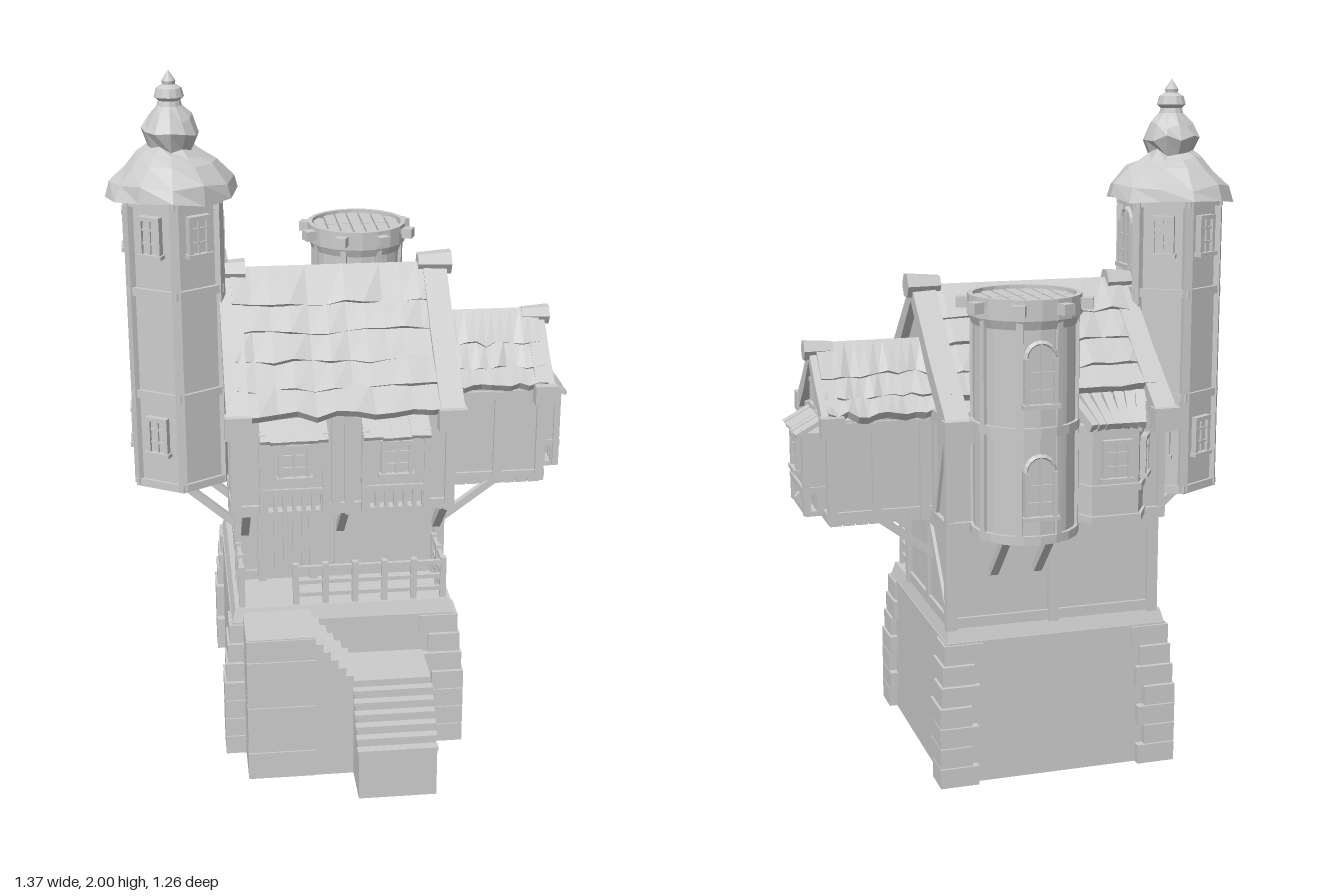
import * as THREE from 'three';

const mat = new THREE.MeshStandardMaterial({ color: 0xcccccc, flatShading: true, side: THREE.DoubleSide });
const hash = (a, b) => { const s = Math.sin(a * 127.1 + b * 311.7) * 43758.5453; return s - Math.floor(s) - 0.5; };
const V = (x, y, z) => new THREE.Vector3(x, y, z);

export function createModel() {
  const root = new THREE.Group();
  const add = (name, geo, parent = root) => {
    const m = new THREE.Mesh(geo, mat);
    m.name = name;
    parent.add(m);
    return m;
  };
  const group = (name, x = 0, y = 0, z = 0, ry = 0) => {
    const g = new THREE.Group();
    g.name = name; g.position.set(x, y, z); g.rotation.y = ry;
    root.add(g);
    return g;
  };
  // Box given by its low and high corners
  const span = (name, x0, x1, y0, y1, z0, z1, parent) => {
    const m = add(name, new THREE.BoxGeometry(x1 - x0, y1 - y0, z1 - z0), parent);
    m.position.set((x0 + x1) / 2, (y0 + y1) / 2, (z0 + z1) / 2);
    return m;
  };
  // Square timber between two points
  const beam = (name, p, q, w = 0.022, parent = root) => {
    const m = add(name, new THREE.BoxGeometry(w, w, p.distanceTo(q)), parent);
    m.position.copy(p).add(q).multiplyScalar(0.5);
    m.lookAt(q);
    return m;
  };
  // Polygon in (z, y), extruded along x from x0 to x1
  const across = (name, pts, x0, x1) => {
    const s = new THREE.Shape(pts.map(p => new THREE.Vector2(p[0], p[1])));
    const g = new THREE.ExtrudeGeometry(s, { depth: x1 - x0, bevelEnabled: false });
    g.rotateY(-Math.PI / 2).translate(x1, 0, 0);
    return add(name, g);
  };
  // Polygon in (x, z), extruded upward
  const upward = (name, pts, y0, y1, hole) => {
    const flip = a => a.map(p => new THREE.Vector2(p[0], -p[1]));
    const s = new THREE.Shape(flip(pts));
    if (hole) s.holes.push(new THREE.Path(flip(hole)));
    const g = new THREE.ExtrudeGeometry(s, { depth: y1 - y0, bevelEnabled: false });
    g.rotateX(-Math.PI / 2).translate(0, y0, 0);
    return add(name, g);
  };
  // Framed, barred window facing local +z
  const windowAt = (x, y, z, ry, w = 0.065, h = 0.1, arched = false) => {
    const g = group('window', x, y, z, ry), t = 0.012;
    span('pane', -w / 2, w / 2, -h / 2, h / 2, -0.004, 0.004, g);
    for (const s of [-1, 1]) span('frameSide', s * w / 2 - t / 2, s * w / 2 + t / 2, -h / 2, h / 2, -0.01, 0.014, g);
    span('sill', -w / 2 - t, w / 2 + t, -h / 2 - t / 2, -h / 2 + t / 2, -0.01, 0.02, g);
    if (arched) {
      add('archFrame', new THREE.TorusGeometry(w / 2, 0.008, 4, 8, Math.PI), g).position.y = h / 2;
      add('archPane', new THREE.CircleGeometry(w / 2, 10, 0, Math.PI), g).position.set(0, h / 2, 0.004);
    } else span('lintel', -w / 2 - t / 2, w / 2 + t / 2, h / 2 - t / 2, h / 2 + t / 2, -0.01, 0.016, g);
    span('mullion', -0.003, 0.003, -h / 2, h / 2 + (arched ? w / 2 : 0), 0, 0.01, g);
    for (const k of [-0.17, 0.2]) span('glazingBar', -w / 2, w / 2, h * k - 0.003, h * k + 0.003, 0, 0.01, g);
  };

  // Hollow stone base
  const rect = (x0, x1, z0, z1) => [[x0, z0], [x1, z0], [x1, z1], [x0, z1]];
  upward('baseWalls', rect(-0.375, 0.295, -0.375, 0.325), 0, 0.43, rect(-0.29, 0.21, -0.29, 0.24));
  const deck = add('deck', new THREE.CylinderGeometry(Math.SQRT1_2 * 0.96, Math.SQRT1_2, 0.05, 4).rotateY(Math.PI / 4));
  deck.scale.set(0.67, 1, 0.70); deck.position.set(-0.04, 0.445, -0.025);
  span('deckUnderside', -0.36, 0.28, 0.40, 0.43, -0.36, 0.31);

  // Corner quoins, narrowing upward
  for (const sx of [-1, 1]) for (const sz of [-1, 1]) for (let i = 0; i < 7; i++) {
    const a = i % 2 ? 0.095 : 0.115, b = i % 2 ? 0.115 : 0.095, out = 0.36 - Math.max(0, i - 3) * 0.006;
    const q = add('quoin', new THREE.BoxGeometry(a, 0.058, b));
    q.position.set(-0.04 + sx * (out - a / 2), 0.03 + i * 0.061, -0.025 + sz * (out + 0.015 - b / 2));
  }

  // Stairs: stone courses, side flight, landing and front flight
  const courses = [0, 0.09, 0.24, 0.39, 0.46];
  for (let i = 0; i < 4; i++) span('stairCourse', -0.34, -0.14, courses[i], courses[i + 1] - 0.005, 0.3, 0.494);
  span('stairCore', -0.335, -0.14, 0, 0.458, 0.3, 0.489);
  for (let i = 0; i < 5; i++) span('sideStep', -0.14 + i * 0.022, -0.118 + i * 0.022, 0, 0.435 - i * 0.027, 0.3, 0.492);
  span('landing', -0.03, 0.197, 0, 0.31, 0.3, 0.492);
  for (let i = 0; i < 6; i++) {
    span('frontStep', -0.03, 0.197, 0, 0.285 - i * 0.026, 0.49 + i * 0.023, 0.513 + i * 0.023);
    span('stepNosing', -0.034, 0.2, 0.279 - i * 0.026, 0.289 - i * 0.026, 0.49 + i * 0.023, 0.517 + i * 0.023);
  }

  // Deck fence
  const fence = (p, q, n) => {
    for (const y of [0.5, 0.54, 0.585]) beam('fenceRail', V(p.x, y, p.z), V(q.x, y, q.z), 0.012);
    for (let i = 0; i <= n; i++) {
      const c = p.clone().lerp(q, i / n);
      span('fencePost', c.x - 0.009, c.x + 0.009, 0.46, 0.6, c.z - 0.009, c.z + 0.009);
    }
  };
  fence(V(-0.18, 0, 0.295), V(0.26, 0, 0.295), 5);
  fence(V(0.26, 0, 0.295), V(0.26, 0, 0.13), 2);
  fence(V(-0.34, 0, 0.295), V(-0.34, 0, 0.13), 2);

  // Ground floor with timber framing
  span('groundFloor', -0.335, 0.275, 0.46, 0.77, -0.355, 0.115);
  for (const x of [-0.335, -0.03, 0.275]) for (const z of [-0.355, 0.115])
    span('groundPost', x - 0.016, x + 0.016, 0.465, 0.765, z - 0.012, z + 0.012);
  for (const y of [0.485, 0.745]) {
    for (const z of [-0.355, 0.115]) span('groundRail', -0.345, 0.285, y - 0.015, y + 0.015, z - 0.009, z + 0.009);
    for (const x of [-0.335, 0.275]) span('groundRail', x - 0.009, x + 0.009, y - 0.015, y + 0.015, -0.36, 0.12);
  }
  for (const x of [-0.335, 0.275]) {
    span('sidePost', x - 0.01, x + 0.01, 0.47, 0.76, -0.13, -0.105);
    beam('sideBrace', V(x, 0.49, -0.34), V(x, 0.74, -0.14), 0.02);
  }
  for (let i = 0; i < 5; i++) span('doorPlank', -0.26 + i * 0.028, -0.234 + i * 0.028, 0.48, 0.72, 0.11, 0.128);
  for (const x of [-0.27, -0.114]) span('doorJamb', x - 0.012, x + 0.012, 0.47, 0.74, 0.11, 0.14);
  span('doorLintel', -0.29, -0.09, 0.72, 0.745, 0.11, 0.145);

  // Upper floor with gables
  across('upperFloor', [[-0.365, 0.76], [0.275, 0.76], [0.275, 1.1], [-0.04, 1.375], [-0.365, 1.1]], -0.355, 0.28);
  for (const z of [-0.365, 0.275]) for (const y of [0.77, 1.05]) span('upperRail', -0.365, 0.29, y - 0.016, y + 0.016, z - 0.012, z + 0.012);
  for (const x of [-0.35, -0.24, -0.06, -0.02, 0.2, 0.275]) span('upperPost', x - 0.013, x + 0.013, 0.75, 1.07, 0.265, 0.29);
  for (const x of [-0.355, 0.28]) {
    for (const y of [0.77, 1.07]) span('gableRail', x - 0.012, x + 0.012, y - 0.016, y + 0.016, -0.375, 0.285);
    for (const z of [-0.36, -0.23, 0.15, 0.27]) span('gablePost', x - 0.011, x + 0.011, 0.76, 1.08, z - 0.013, z + 0.013);
    beam('gableBrace', V(x, 0.78, 0.16), V(x, 1.06, 0.26), 0.018);
    beam('gableBrace', V(x, 0.78, -0.24), V(x, 1.06, -0.35), 0.018);
  }
  for (const x of [-0.32, -0.03, 0.265]) beam('frontStrut', V(x, 0.63, 0.12), V(x, 0.765, 0.27), 0.024);
  for (let i = 0; i < 7; i++) span('floorJoist', -0.33 + i * 0.097, -0.31 + i * 0.097, 0.745, 0.765, 0.11, 0.27);

  // Bay: window box with rail bars and a sloping plank awning, facing local +z
  const bay = (x, z, ry, w, d) => {
    const g = group('windowBay', x, 0, z, ry);
    span('bayBody', -w / 2, w / 2, 0.85, 1.02, 0, d * 0.75, g);
    span('bayFloor', -w / 2, w / 2, 0.775, 0.79, 0, d * 0.75, g);
    span('baySill', -w / 2 - 0.006, w / 2 + 0.006, 0.845, 0.862, 0, d * 0.85, g);
    span('bayBack', -w / 2, w / 2, 0.78, 0.86, 0, d * 0.35, g);
    for (let i = 0; i < 7; i++) {
      const c = -w / 2 + 0.008 + i * (w - 0.016) / 6;
      span('bayBar', c - 0.006, c + 0.006, 0.78, 0.85, d * 0.55, d * 0.75, g);
      const p = add('awningPlank', new THREE.BoxGeometry(w / 6, 0.012, d * 1.15), g);
      p.position.set(c, 1.035 + hash(i, x) * 0.006, d * 0.5);
      p.rotation.x = 0.5;
    }
    for (const s of [-1, 1]) span('bayPost', s * w / 2 - 0.01, s * w / 2 + 0.01, 0.78, 1.03, d * 0.6, d * 0.82, g);
    const c = V(0, 0.945, d * 0.76).applyAxisAngle(V(0, 1, 0), ry);
    windowAt(x + c.x, c.y, z + c.z, ry, 0.08, 0.1);
  };
  bay(-0.185, 0.275, 0, 0.18, 0.085);
  bay(0.11, 0.275, 0, 0.18, 0.085);

  // Side wing
  across('wing', [[-0.195, 0.765], [0.115, 0.765], [0.115, 1.06], [-0.04, 1.22], [-0.195, 1.06]], 0.27, 0.585);
  for (const z of [-0.195, 0.115]) {
    for (const y of [0.78, 1.04]) span('wingRail', 0.28, 0.595, y - 0.014, y + 0.014, z - 0.01, z + 0.01);
    for (const x of [0.31, 0.45, 0.58]) span('wingPost', x - 0.013, x + 0.013, 0.76, 1.05, z - 0.012, z + 0.012);
    beam('wingStrut', V(0.275, 0.64, z * 0.95), V(0.45, 0.77, z * 0.95), 0.022);
  }
  for (const y of [0.78, 1.05]) span('wingEndRail', 0.575, 0.597, y - 0.014, y + 0.014, -0.2, 0.12);
  for (let i = 0; i < 8; i++) span('wingFloorPlank', 0.285 + i * 0.038, 0.319 + i * 0.038, 0.75, 0.766, -0.19, 0.11);
  windowAt(0.588, 1.115, -0.04, Math.PI / 2, 0.06, 0.07);
  bay(0.585, -0.05, Math.PI / 2, 0.2, 0.085);
  beam('bayStrut', V(0.59, 0.76, -0.05), V(0.655, 0.82, -0.05), 0.02);

  // Roofs: overlapping wavy shingle rows on both slopes
  const roof = (x0, x1, top, half, drop, rows, backRows) => {
    const L = x1 - x0, at = t => [t * half, top - t * drop - 0.02 * Math.sin(Math.PI * t)];
    for (const side of [0, 1]) {
      const g = group('roofSlope', (x0 + x1) / 2, 0, -0.04, side * Math.PI);
      for (let r = 0; r < (side ? backRows : rows); r++) {
        const [za, ya] = at(r / rows), [zb, yb] = at((r + 1) / rows), len = Math.hypot(zb - za, yb - ya);
        const geo = new THREE.BoxGeometry(L, 0.026, len + 0.02, 11, 1, 1), p = geo.attributes.position;
        for (let i = 0; i < p.count; i++) if (p.getZ(i) > 0) {
          const k = Math.round(p.getX(i) * 500) + side * 9;
          p.setY(i, p.getY(i) + 0.008 + 0.016 * hash(k, r));
          p.setZ(i, p.getZ(i) + 0.022 * hash(k, r + 7));
        }
        const m = add('shingleRow', geo, g);
        m.position.set(0, (ya + yb) / 2, (za + zb) / 2);
        m.rotation.x = Math.atan2(ya - yb, zb - za);
      }
    }
  };
  roof(-0.34, 0.27, 1.4, 0.37, 0.32, 5, 4);
  roof(0.28, 0.59, 1.245, 0.175, 0.175, 3, 3);

  // Sagging gable trims with blocky ridge caps
  const trim = (x0, x1, top, half, drop, t) => {
    const outer = [[-1, 1], [-0.5, 0.53], [0, 0], [0.5, 0.53], [1, 1]].map(([a, b]) => [-0.04 + a * half, top - b * drop]);
    const inner = outer.map(([z, y]) => [z - Math.sign(z + 0.04) * t * 0.3, y - t]).reverse();
    across('gableTrim', [...outer, ...inner], x0, x1);
    const c = add('ridgeCap', new THREE.CylinderGeometry(t * 0.55, t * 0.7, x1 - x0 + 0.03, 6).rotateZ(Math.PI / 2));
    c.position.set((x0 + x1) / 2, top - 0.01, -0.04);
    for (const s of [-1, 1]) span('trimFoot', x0 - 0.006, x1 + 0.006, top - drop - t, top - drop + 0.012,
      -0.04 + s * half * 0.96 - 0.022, -0.04 + s * half * 0.96 + 0.022);
  };
  trim(-0.375, -0.31, 1.415, 0.4, 0.335, 0.055);
  trim(0.235, 0.305, 1.425, 0.4, 0.345, 0.055);
  trim(0.555, 0.61, 1.25, 0.205, 0.18, 0.045);

  // Rear bay with plank roof
  upward('rearBay', [[-0.31, -0.35], [-0.26, -0.435], [-0.12, -0.435], [-0.07, -0.35]], 0.77, 1.05);
  for (const y of [0.77, 0.86, 1.03]) upward('rearBayBand', [[-0.318, -0.35], [-0.265, -0.445], [-0.115, -0.445], [-0.062, -0.35]], y, y + 0.02);
  for (let i = 0; i < 7; i++) {
    const a = (i - 3) / 3;
    beam('rearRoofPlank', V(-0.19 + a * 0.07, 1.05, -0.45), V(-0.19 + a * 0.105, 1.12, -0.345), 0.026);
  }
  windowAt(-0.19, 0.95, -0.437, Math.PI, 0.075, 0.11);
  windowAt(-0.287, 0.95, -0.395, -2.1, 0.05, 0.11);

  // Six-sided stair tower
  const TX = -0.5, TZ = -0.04;
  const hex = (name, r0, r1, y0, y1) => add(name, new THREE.CylinderGeometry(r1, r0, y1 - y0, 6)).position.set(TX, (y0 + y1) / 2, TZ);
  hex('towerLower', 0.15, 0.15, 0.77, 1.38);
  hex('towerUpper', 0.147, 0.147, 1.38, 1.67);
  for (const y of [0.765, 1.05, 1.365, 1.63]) hex('towerBand', 0.161, 0.161, y, y + 0.024);
  for (let i = 0; i < 6; i++) {
    const a = i * Math.PI / 3, f = a + Math.PI / 6;
    const p = add('towerPost', new THREE.BoxGeometry(0.026, 0.89, 0.024));
    p.position.set(TX + 0.146 * Math.sin(a), 1.215, TZ + 0.146 * Math.cos(a));
    p.rotation.y = a;
    const wx = TX + 0.133 * Math.sin(f), wz = TZ + 0.133 * Math.cos(f);
    if (i === 1) windowAt(wx, 1.515, wz, f, 0.08, 0.13, true);
    else windowAt(wx, 1.545, wz, f, 0.058, 0.11);
    if (i > 1) windowAt(wx, 0.935, wz, f, 0.058, 0.11);
  }
  for (const z of [-0.14, 0.06]) beam('towerStrut', V(-0.34, 0.63, z), V(-0.5, 0.77, z), 0.022);

  // Tower spire: rough lathe with a bulb and finial
  const prof = [[0.13, 1.67], [0.187, 1.65], [0.176, 1.69], [0.13, 1.735], [0.095, 1.77], [0.066, 1.785], [0.084, 1.83],
    [0.064, 1.865], [0.036, 1.9], [0.032, 1.915], [0.043, 1.925], [0.036, 1.95], [0.018, 1.96], [0.02, 1.97], [0, 2]];
  const spire = new THREE.LatheGeometry(prof.map(p => new THREE.Vector2(...p)), 12), sp = spire.attributes.position;
  for (let i = 0; i < sp.count; i++) {
    const k = Math.floor(i / prof.length) % 12, j = i % prof.length, amp = j > 0 && j < 8 ? 1 : 0;
    const s = 1 + amp * 0.09 * hash(k, j);
    sp.setXYZ(i, sp.getX(i) * s, sp.getY(i) + amp * 0.025 * hash(k + 20, j), sp.getZ(i) * s);
  }
  add('towerSpire', spire).position.set(TX, 0, TZ);

  // Round rear turret with plank top and small crenels
  const RX = 0.085, RZ = -0.445;
  const drum = (name, r0, r1, y0, y1) => add(name, new THREE.CylinderGeometry(r1, r0, y1 - y0, 20)).position.set(RX, (y0 + y1) / 2, RZ);
  drum('turretWall', 0.142, 0.142, 0.78, 1.42);
  for (const y of [0.77, 1.07]) drum('turretBand', 0.152, 0.152, y, y + 0.025);
  drum('turretCornice', 0.144, 0.156, 1.36, 1.39);
  const ring = upward('turretRim', [...Array(20).keys()].map(i => [0.157 * Math.cos(i * Math.PI / 10), 0.157 * Math.sin(i * Math.PI / 10)]), 1.385, 1.442,
    [...Array(20).keys()].map(i => [0.143 * Math.cos(i * Math.PI / 10), 0.143 * Math.sin(i * Math.PI / 10)]));
  ring.position.set(RX, 0, RZ);
  for (let i = -3; i <= 3; i++) {
    const h = Math.sqrt(0.144 ** 2 - (i * 0.039) ** 2);
    for (const s of [-1, 1]) span('turretPlank', RX + i * 0.039 - 0.017, RX + i * 0.039 + 0.017, 1.415, 1.432,
      RZ + (s < 0 ? -h : 0.002), RZ + (s < 0 ? -0.002 : h));
  }
  for (let i = 0; i < 8; i++) {
    const a = (i + 0.5) * Math.PI / 4, m = add('crenel', new THREE.BoxGeometry(0.036, 0.03, 0.04));
    m.position.set(RX + 0.167 * Math.sin(a), 1.415, RZ + 0.167 * Math.cos(a));
    m.rotation.y = a;
    const p = add('turretPost', new THREE.BoxGeometry(0.018, 0.62, 0.014));
    p.position.set(RX + 0.143 * Math.sin(a), 1.08, RZ + 0.143 * Math.cos(a));
    p.rotation.y = a;
  }
  for (const y of [0.91, 1.22]) windowAt(RX, y, RZ - 0.143, Math.PI, 0.08, 0.13, true);
  for (const x of [0.02, 0.15]) beam('turretStrut', V(x, 0.63, -0.36), V(x, 0.775, -0.5), 0.024);

  return root;
}
